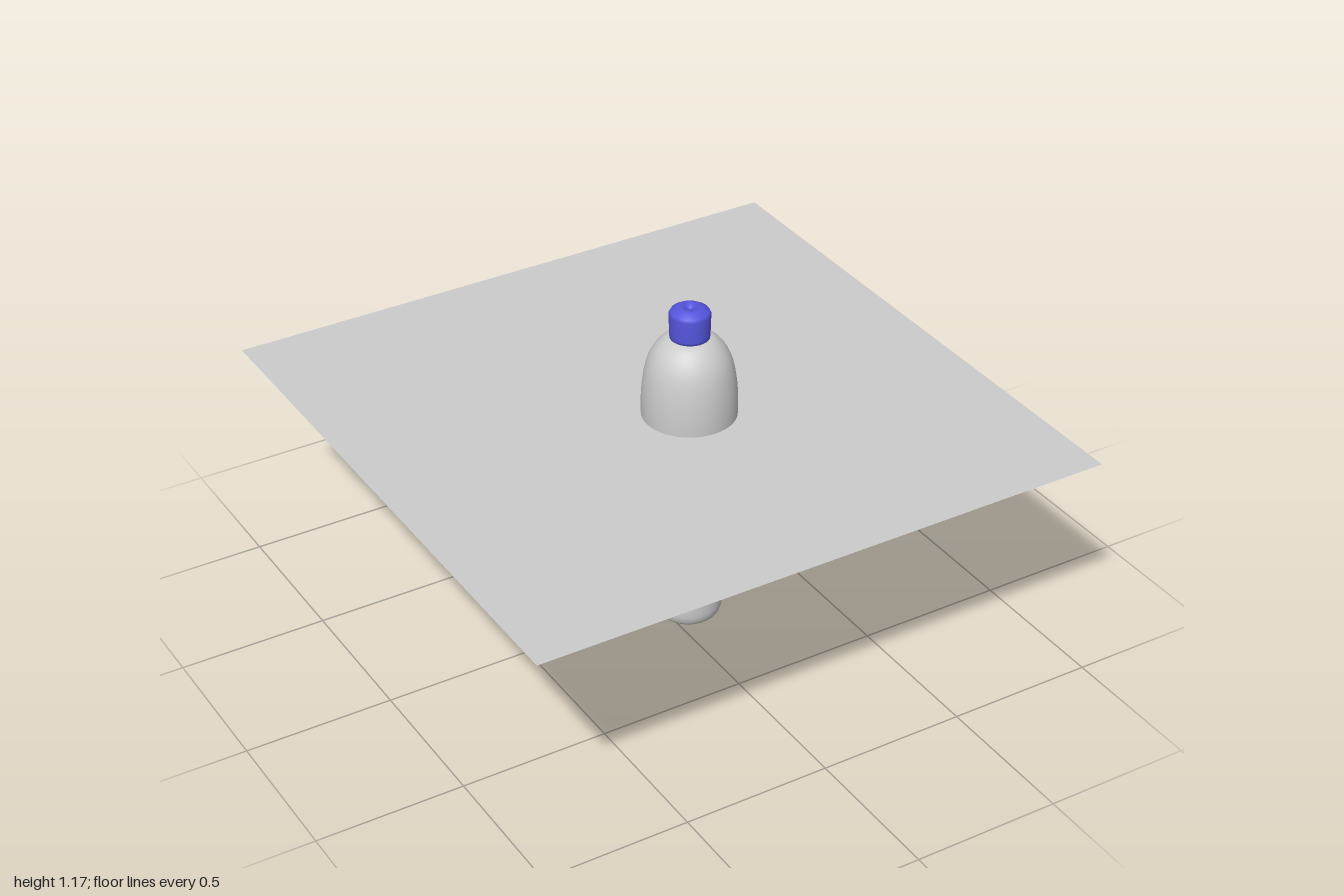
import * as THREE from 'three';

const AXIS_X = 0.065, AXIS_Z = 0.08;

const points = (list) => list.map(([r, y]) => new THREE.Vector2(r, y));

function addLathe(group, name, profile, color) {
  const mesh = new THREE.Mesh(
    new THREE.LatheGeometry(profile, 48),
    new THREE.MeshStandardMaterial({ color, side: THREE.DoubleSide })
  );
  mesh.name = name;
  mesh.position.set(AXIS_X, 0, AXIS_Z);
  group.add(mesh);
}

export function createModel() {
  const group = new THREE.Group();
  group.name = 'bottleAndSheet';

  // Bottle body: rounded foot, slim waist, wide shoulder and domed top
  const body = new THREE.SplineCurve(points([
    [0, 0], [0.05, 0.004], [0.088, 0.012], [0.107, 0.034], [0.114, 0.08],
    [0.113, 0.2], [0.113, 0.3], [0.118, 0.42], [0.132, 0.57], [0.148, 0.7],
    [0.155, 0.8], [0.152, 0.89], [0.14, 0.965], [0.12, 1.015], [0.092, 1.05],
    [0.06, 1.068], [0, 1.075],
  ])).getPoints(64);
  body[0].x = body[body.length - 1].x = 0;
  addLathe(group, 'bottleBody', body, 0xcccccc);

  // Screw cap: bevelled rim with a small dimple in the middle
  addLathe(group, 'cap', points([
    [0, 1.065], [0.064, 1.065], [0.065, 1.075], [0.067, 1.148], [0.062, 1.158],
    [0.038, 1.173], [0.016, 1.173], [0.012, 1.16], [0, 1.158],
  ]), 0x5555dd);

  // Thin square sheet around the widest part of the bottle
  const sheet = new THREE.Mesh(
    new THREE.PlaneGeometry(2, 2).rotateX(-Math.PI / 2),
    new THREE.MeshStandardMaterial({ color: 0xcccccc, side: THREE.DoubleSide })
  );
  sheet.name = 'sheet';
  sheet.position.y = 0.787;
  group.add(sheet);

  return group;
}
